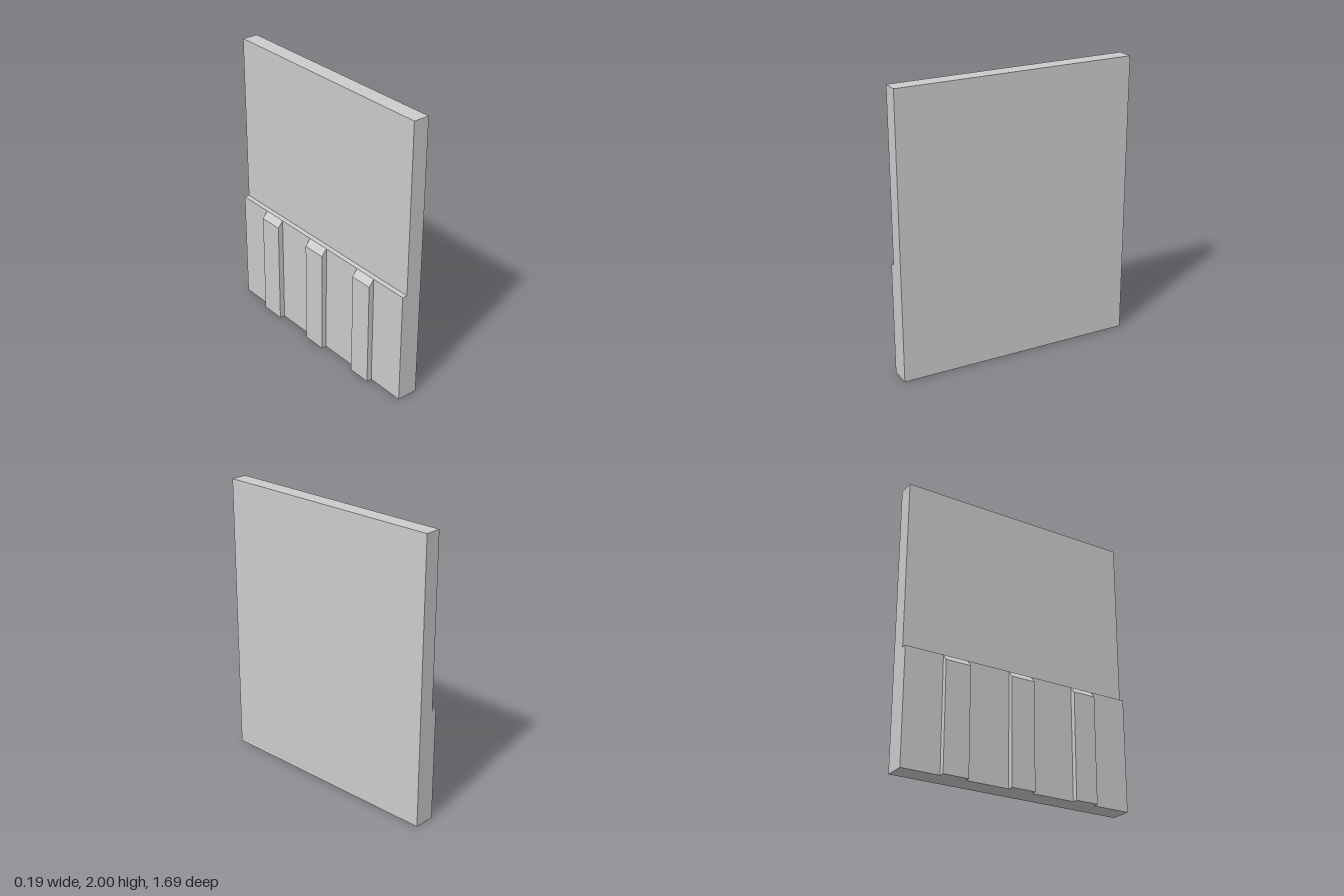
import * as THREE from 'three';

const material = new THREE.MeshStandardMaterial({ color: 0xcccccc, flatShading: true });

// Extrude an x-y profile along z, from z0 to z1
function profilePart(name, points, z0, z1) {
  const shape = new THREE.Shape(points.map(([x, y]) => new THREE.Vector2(x, y)));
  const geometry = new THREE.ExtrudeGeometry(shape, { depth: z1 - z0, bevelEnabled: false });
  geometry.translate(0, 0, z0);
  const mesh = new THREE.Mesh(geometry, material);
  mesh.name = name;
  return mesh;
}

export function createModel() {
  const group = new THREE.Group();
  group.name = 'wallPanel';

  const front = 0.093, back = -0.021, baseBack = -0.057, ribBack = -0.095;
  const baseTop = 0.8, halfWidth = 0.845;

  // Wall slab with its thicker lower section
  group.add(profilePart('wall', [
    [baseBack, 0], [front, 0], [front, 2], [back, 2], [back, baseTop], [baseBack, baseTop],
  ], -halfWidth, halfWidth));

  // Upright ribs with sloped tops
  const ribs = [[-0.574, -0.394], [-0.086, 0.089], [0.406, 0.571]];
  ribs.forEach(([z0, z1], i) => {
    group.add(profilePart(`rib${i + 1}`, [
      [ribBack, 0], [baseBack, 0], [baseBack, baseTop], [ribBack, 0.753],
    ], z0, z1));
  });

  return group;
}
